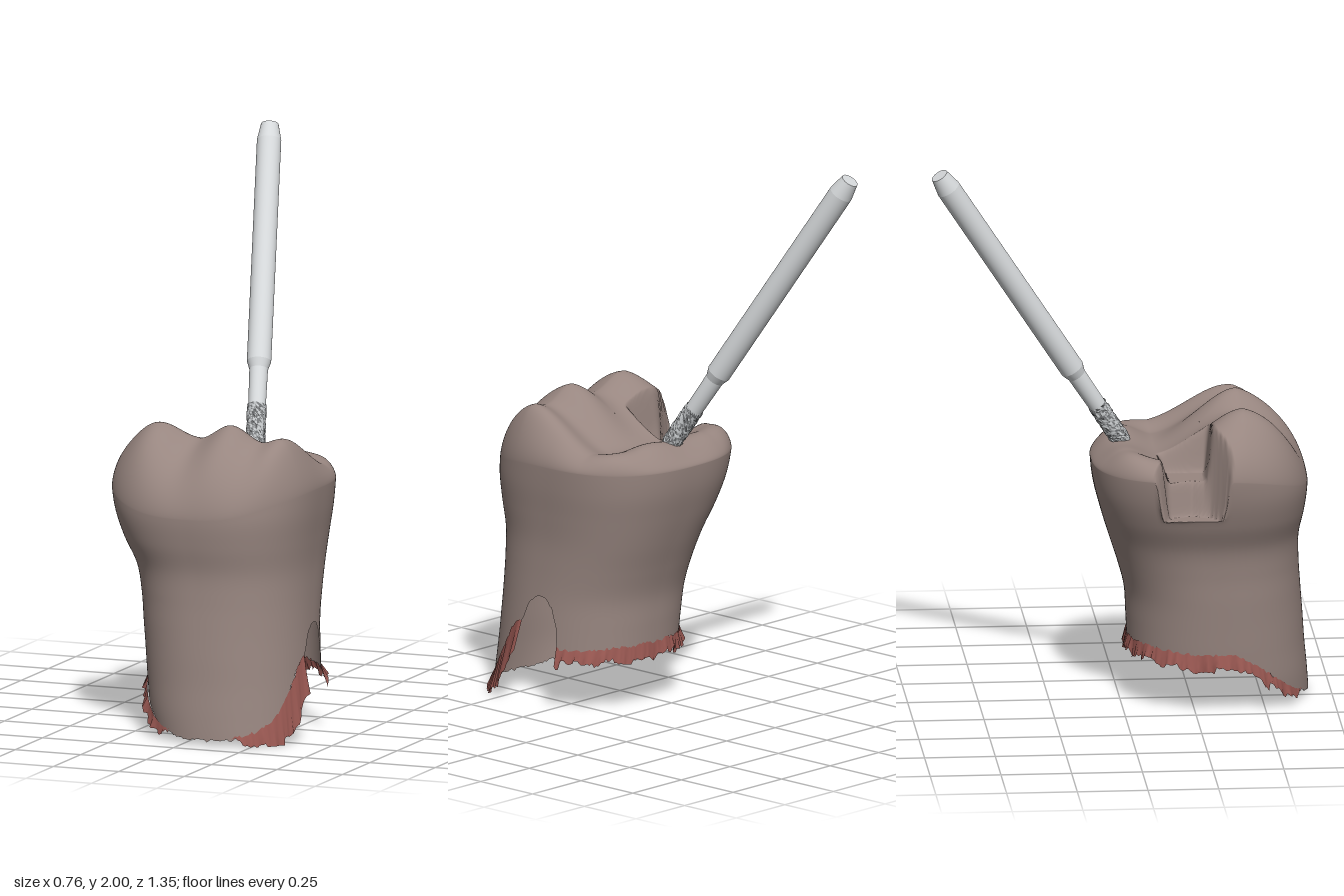
import * as THREE from 'three';

const { smoothstep, lerp, clamp } = THREE.MathUtils;
const mat = (name, color, side = THREE.DoubleSide) => {
  const m = new THREE.MeshStandardMaterial({ color, side });
  m.name = name;
  return m;
};

// repeatable noise in 0..1
const hash = (a, b = 0, c = 0) => {
  const v = Math.sin(a * 127.1 + b * 311.7 + c * 74.7) * 43758.5453;
  return v - Math.floor(v);
};

// tooth extents every 0.1 in height: x min, x max, z back, z front
const LEVELS = [
  [-0.2, 0.37, 0.04, 0.672], [-0.222, 0.365, 0.035, 0.665],
  [-0.235, 0.36, 0.03, 0.655], [-0.245, 0.355, 0.025, 0.648],
  [-0.255, 0.35, 0.018, 0.64], [-0.265, 0.347, -0.008, 0.633],
  [-0.285, 0.347, -0.04, 0.632], [-0.332, 0.355, -0.07, 0.65],
  [-0.367, 0.365, -0.095, 0.66], [-0.385, 0.37, -0.105, 0.65],
];

// smooth interpolation between levels
function extents(y) {
  const f = clamp(y * 10, 0, 8.999), i = Math.floor(f), t = f - i;
  const L = (k) => LEVELS[clamp(k, 0, 9)];
  return [0, 1, 2, 3].map((c) => {
    const p1 = L(i)[c], p2 = L(i + 1)[c];
    const m1 = (p2 - L(i - 1)[c]) / 2, m2 = (L(i + 2)[c] - p1) / 2;
    return p1 + m1 * t + (3 * (p2 - p1) - 2 * m1 - m2) * t * t
      + (2 * (p1 - p2) + m1 + m2) * t * t * t;
  });
}

// point on the rounded-square outline at a height
function outline(a, y) {
  const [x0, x1, z0, z1] = extents(y);
  const e = 2 / lerp(2.2, 2.55, smoothstep(y, 0.3, 0.8));
  const c = Math.cos(a), s = Math.sin(a);
  return new THREE.Vector3(
    (x0 + x1) / 2 + (x1 - x0) / 2 * Math.sign(c) * Math.abs(c) ** e, y,
    (z0 + z1) / 2 + (z1 - z0) / 2 * Math.sign(s) * Math.abs(s) ** e);
}

// ragged lower rim, with an arched gap on the left side
const inArch = (p) => p.x > 0.1 ? Math.max(0, 1 - ((p.z - 0.32) / 0.085) ** 2) : 0;
function rimHeight(a, j) {
  const p = outline(a, 0.2);
  let y = 0.015 + 0.19 * smoothstep(-p.z, -0.68, -0.36) + 0.02 * smoothstep(-p.z, -0.3, 0);
  if (p.x > 0.1) y += 0.1 * smoothstep(-p.z, -0.56, -0.41) * smoothstep(p.z, 0.2, 0.34);
  y = Math.max(y, inArch(p) > 0 ? 0.22 + 0.18 * Math.sqrt(inArch(p)) : 0);
  return y + 0.012 * (hash(j, 3) - 0.5);
}

// chewing surface: outer cusp ridge, groove and lower inner cusps
function crownHeight(x, z) {
  const bump = (cx, w) => Math.exp(-(((x - cx) / w) ** 2));
  const outer = 0.135 + 0.07 * bump(-0.2, 0.11) + 0.075 * bump(0.07, 0.09) + 0.07 * bump(0.29, 0.07);
  const inner = 0.035 + 0.03 * bump(-0.2, 0.13) + 0.035 * bump(0.12, 0.14);
  const rise = 0.55 * smoothstep(z, 0.1, 0.42) + 0.45 * clamp((z - 0.12) / 0.3, 0, 1);
  return 0.905 + outer * rise + inner * Math.exp(-(((z + 0.01) / 0.1) ** 2))
    + 0.045 * smoothstep(Math.abs(x), 0.17, 0.32) * (1 - rise);
}

// stepped box cavity opening on the right side
function carve(p) {
  const far = 0.3 + 0.055 * smoothstep(-p.x, 0.23, 0.37);
  const near = 0.145 - 0.025 * smoothstep(-p.x, 0.3, 0.37);
  const m = smoothstep(p.z, near - 0.025, near + 0.01)
    * (1 - smoothstep(p.z, far - 0.015, far + 0.012)) * smoothstep(-p.x, 0.085, 0.118);
  const bend = 0.245 + 0.4 * Math.abs(p.z - 0.235);
  const floor = lerp(0.85, 0.73, smoothstep(-p.x, bend - 0.015, bend + 0.015));
  if (p.y > floor && m > 0) {
    p.y = lerp(p.y, floor, m);
    p.x = lerp(p.x, Math.max(p.x, -0.345), m);
  }
  return p;
}

// closed ring grid; point(row, column) returns a Vector3
function ringSurface(rows, cols, point) {
  const pos = [], idx = [];
  for (let i = 0; i <= rows; i++) {
    for (let j = 0; j < cols; j++) {
      pos.push(...point(i, j).toArray());
      if (i === rows) continue;
      const a = i * cols + j, b = i * cols + (j + 1) % cols;
      idx.push(a, a + cols, b, b, a + cols, b + cols);
    }
  }
  const g = new THREE.BufferGeometry();
  g.setAttribute('position', new THREE.Float32BufferAttribute(pos, 3));
  g.setIndex(idx);
  g.computeVertexNormals();
  return g;
}

function toothGeometry() {
  const cols = 240, wall = 46, top = 72;
  return ringSurface(wall + top, cols, (i, j) => {
    const a = j / cols * Math.PI * 2, front = Math.max(0, Math.sin(a));
    const shoulder = 0.88 - 0.08 * front ** 2;
    if (i <= wall) return carve(outline(a, lerp(rimHeight(a, j), shoulder, i / wall)));
    const s = Math.max(0.002, Math.cos((i - wall) / top * Math.PI / 2));
    const p = outline(a, shoulder);
    p.x = lerp(-0.005, p.x, s);
    p.z = lerp(0.28, p.z, s);
    const dome = (1 - s ** lerp(6, 2.2, front ** 2)) ** 0.6;
    p.y = lerp(shoulder, crownHeight(p.x, p.z), dome);
    return carve(p);
  });
}

// torn strip of gum hanging from the rim, absent at the front and the arch
function gumGeometry() {
  const cols = 240, rows = 3;
  return ringSurface(rows, cols, (i, j) => {
    const a = j / cols * Math.PI * 2, rim = rimHeight(a, j), q = outline(a, 0.2);
    const frontGap = smoothstep(q.z, 0.5, 0.58) * smoothstep(q.x, -0.16, -0.08) * (1 - smoothstep(q.x, 0.16, 0.24));
    let w = (0.035 + 0.03 * hash(Math.floor(j / 3), 7)) * (1 - frontGap);
    if (q.x > 0.1) w += 0.09 * smoothstep(q.z, 0.38, 0.43) * (1 - smoothstep(q.z, 0.48, 0.62));
    if (inArch(q) > 0) w = 0;
    const t = 1 - i / rows;
    const p = outline(a, Math.max(0, rim + (w > 0 ? 0.008 : 0) - w * t));
    const out = w > 0 ? (0.004 + 0.02 * t * (0.5 + hash(j, 5))) * (1 - frontGap) : 0;
    p.x += Math.cos(a) * out;
    p.z += Math.sin(a) * out * 0.6;
    return p;
  });
}

// rough grit tip, its facets shared out between two greys
function gritGeometry() {
  const prof = [new THREE.Vector2(0.0001, 0)];
  for (let k = 1; k <= 4; k++) {
    const a = k / 4 * Math.PI / 2;
    prof.push(new THREE.Vector2(0.034 * Math.sin(a), 0.034 * (1 - Math.cos(a))));
  }
  for (let k = 1; k <= 18; k++) prof.push(new THREE.Vector2(0.034, 0.034 + k * 0.009));
  const g = new THREE.LatheGeometry(prof, 26).toNonIndexed();
  const p = g.attributes.position;
  for (let i = 0; i < p.count; i++) {
    const r = (n) => Math.round(n * 1e4);
    const k = 1 + 0.13 * (hash(r(p.getX(i)), r(p.getY(i)), r(p.getZ(i))) - 0.5);
    p.setXYZ(i, p.getX(i) * k, p.getY(i), p.getZ(i) * k);
  }
  g.computeVertexNormals();
  for (let i = 0; i < p.count; i += 3) g.addGroup(i, 3, hash(i, 11) < 0.4 ? 1 : 0);
  return g;
}

export function createModel() {
  const model = new THREE.Group();
  const enamel = mat('tooth', 0x988680);
  const gum = mat('gum', 0x965650);
  const steel = mat('steel', 0xd6d9db, THREE.FrontSide);
  const gritLight = mat('gritLight', 0xc2c5c7);
  const gritDark = mat('gritDark', 0x77797b);
  const add = (parent, name, geo, m) => {
    const mesh = new THREE.Mesh(geo, m);
    mesh.name = name;
    parent.add(mesh);
    return mesh;
  };

  add(model, 'tooth', toothGeometry(), enamel);
  add(model, 'gumEdge', gumGeometry(), gum);

  // dental bur, built upright from its tip and then tilted
  const bur = new THREE.Group();
  bur.name = 'bur';
  add(bur, 'gritTip', gritGeometry(), [gritLight, gritDark]);
  const sections = [
    ['neck', 0.19, 0.335, 0.031, 0.033], ['shoulder', 0.335, 0.365, 0.033, 0.043],
    ['shank', 0.365, 1.215, 0.043, 0.043], ['shankEnd', 1.215, 1.277, 0.043, 0.031],
  ];
  for (const [name, t0, t1, r0, r1] of sections) {
    add(bur, name, new THREE.CylinderGeometry(r1, r0, t1 - t0, 40), steel).position.y = (t0 + t1) / 2;
  }
  bur.position.set(0.005, 0.92, 0.02);
  bur.quaternion.setFromUnitVectors(new THREE.Vector3(0, 1, 0),
    new THREE.Vector3(-0.225, 1.063, -0.677).normalize());
  model.add(bur);
  return model;
}
